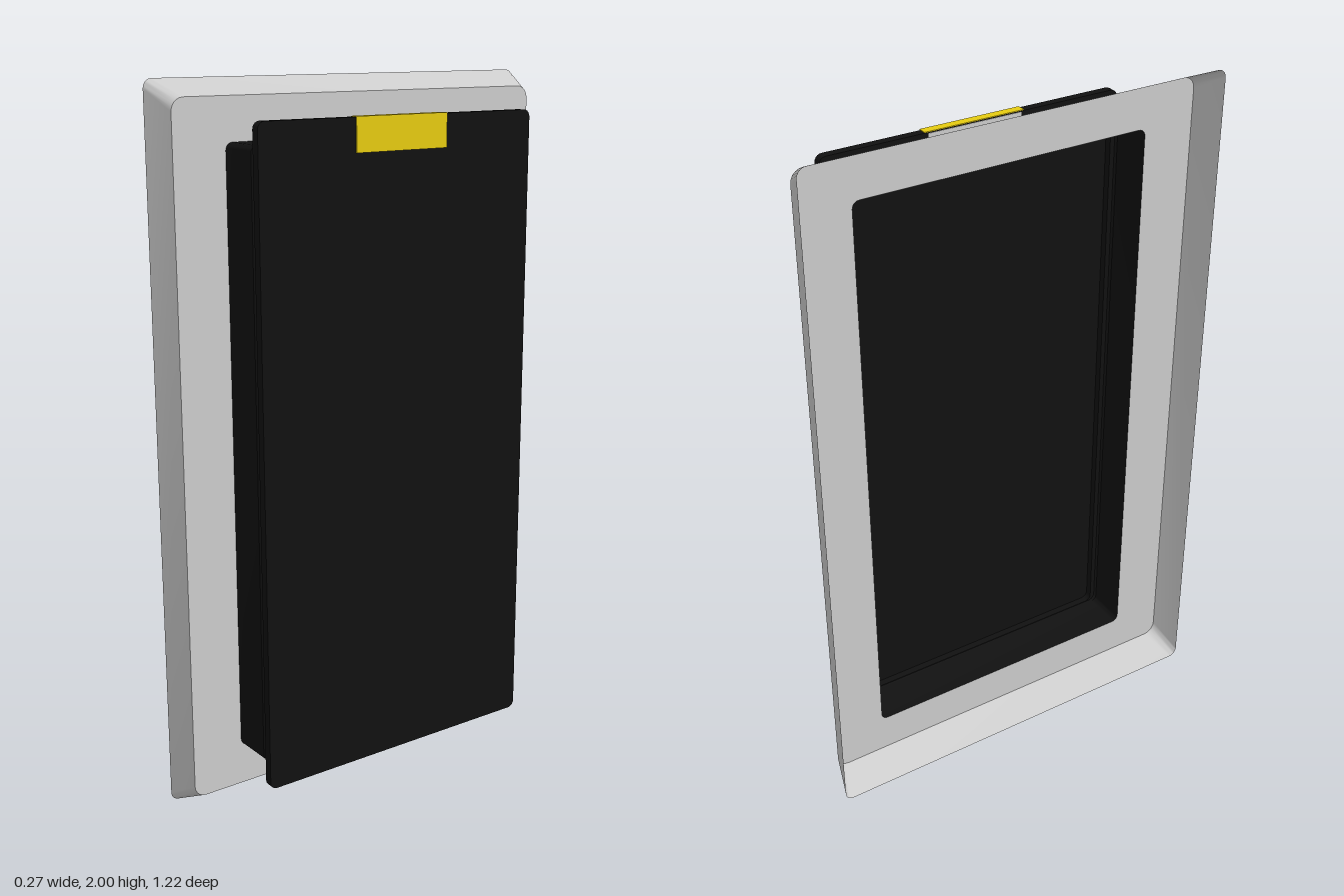
import * as THREE from 'three';
import { toCreasedNormals } from 'three/addons/utils/BufferGeometryUtils.js';

const MID = 1; // height of the centre line
const CORNER_STEPS = 5;

// Points of a rounded rectangle in the y-z plane, counterclockwise about +x
function ring([x, halfZ, halfY, r]) {
  const points = [];
  const corners = [[1, 1], [-1, 1], [-1, -1], [1, -1]]; // signs of y, z
  corners.forEach(([sy, sz], c) => {
    for (let k = 0; k <= CORNER_STEPS; k++) {
      const a = (c + k / CORNER_STEPS) * Math.PI / 2;
      points.push([x, MID + sy * (halfY - r) + r * Math.cos(a), sz * (halfZ - r) + r * Math.sin(a)]);
    }
  });
  return points;
}

// Open shell through a series of [x, halfZ, halfY, radius] sections
function loft(sections) {
  const rings = sections.map(ring);
  const n = rings[0].length;
  const index = [];
  for (let i = 0; i < rings.length - 1; i++) {
    for (let j = 0; j < n; j++) {
      const k = (j + 1) % n;
      const a = i * n + j, b = i * n + k, c = a + n, d = b + n;
      index.push(a, b, c, b, d, c);
    }
  }
  const geometry = new THREE.BufferGeometry();
  geometry.setAttribute('position', new THREE.Float32BufferAttribute(rings.flat(2), 3));
  geometry.setIndex(index);
  return toCreasedNormals(geometry, 0.6);
}

// Solid rounded panel between two x positions
function panel(x0, x1, halfZ, halfY, r) {
  const shape = new THREE.Shape(ring([0, halfZ, halfY, r]).map(([, y, z]) => new THREE.Vector2(z, y)));
  const geometry = new THREE.ExtrudeGeometry(shape, { depth: x1 - x0, bevelEnabled: false });
  geometry.rotateY(Math.PI / 2).translate(x0, 0, 0);
  return toCreasedNormals(geometry, 0.6);
}

function block(x0, x1, y0, y1, halfZ) {
  return new THREE.BoxGeometry(x1 - x0, y1 - y0, 2 * halfZ).translate((x0 + x1) / 2, (y0 + y1) / 2, 0);
}

export function createModel() {
  const model = new THREE.Group();
  model.name = 'framedCompartment';

  const side = THREE.DoubleSide;
  const grey = new THREE.MeshStandardMaterial({ color: 0xcccccc, side });
  const black = new THREE.MeshStandardMaterial({ color: 0x111111, side });
  const yellow = new THREE.MeshStandardMaterial({ color: 0xe6cb11 });

  const add = (name, geometry, material) => {
    const mesh = new THREE.Mesh(geometry, material);
    mesh.name = name;
    model.add(mesh);
  };

  // Sheet frame: sloping rim and a flat face with an opening
  add('frame', loft([
    [-0.135, 0.61, 1, 0.025],
    [-0.04, 0.585, 0.957, 0.035],
    [-0.04, 0.432, 0.841, 0.02],
  ]), grey);

  // Open-backed housing that steps in to a narrow neck
  add('housing', loft([
    [-0.04, 0.432, 0.841, 0.02],
    [0.08, 0.432, 0.841, 0.02],
    [0.086, 0.427, 0.838, 0.02],
    [0.086, 0.413, 0.836, 0.02],
    [0.108, 0.413, 0.836, 0.02],
  ]), black);

  // Door closing the housing
  add('door', panel(0.107, 0.131, 0.443, 0.902, 0.02), black);

  // Latch: bent grey plate behind the door, yellow pull on its outside
  add('latchTongue', block(0.086, 0.107, 1.826, 1.838, 0.138), grey);
  add('latchPlate', block(0.1055, 0.108, 1.83, 1.9, 0.138), grey);
  add('latchPull', block(0.108, 0.134, 1.812, 1.904, 0.148), yellow);

  return model;
}
